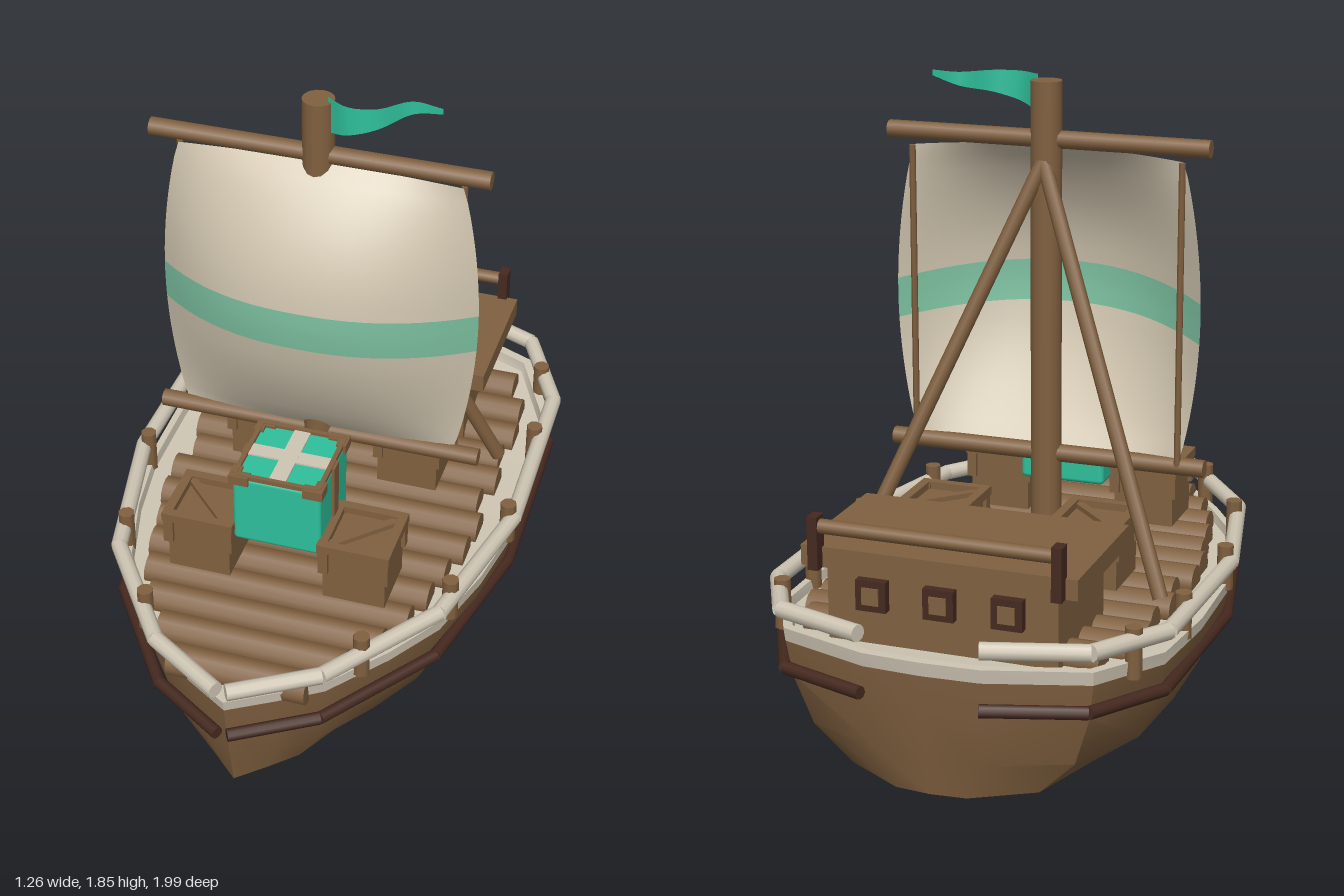
import * as THREE from 'three';
import { toCreasedNormals } from 'three/addons/utils/BufferGeometryUtils.js';
import { RoundedBoxGeometry } from 'three/addons/geometries/RoundedBoxGeometry.js';

const mat = (name, color, extra = {}) => Object.assign(new THREE.MeshStandardMaterial({ color, ...extra }), { name });

export function createModel() {
  const wood = mat('wood', 0x80603f);
  const darkWood = mat('darkWood', 0x45291f);
  const cream = mat('cream', 0xcfc6b4);
  const canvas = mat('canvas', 0xcfc4ae, { side: THREE.DoubleSide });
  const stripe = mat('stripe', 0x7cc0a0, { side: THREE.DoubleSide });
  const teal = mat('teal', 0x2fc09c, { side: THREE.DoubleSide });
  const root = new THREE.Group();
  root.name = 'sailingBoat';

  const add = (name, geo, material, x = 0, y = 0, z = 0, parent = root) => {
    const m = new THREE.Mesh(geo, material);
    m.name = name;
    m.position.set(x, y, z);
    parent.add(m);
    return m;
  };
  const box = (name, w, h, d, material, x, y, z, parent) =>
    add(name, new THREE.BoxGeometry(w, h, d), material, x, y, z, parent);
  // Round bar between two points
  const bar = (name, a, b, r, material, parent = root, sides = 10) => {
    const p = new THREE.Vector3(...a), q = new THREE.Vector3(...b);
    const m = add(name, new THREE.CylinderGeometry(r, r, p.distanceTo(q), sides), material, 0, 0, 0, parent);
    m.position.addVectors(p, q).multiplyScalar(0.5);
    m.quaternion.setFromUnitVectors(new THREE.Vector3(0, 1, 0), q.sub(p).normalize());
    return m;
  };
  // Grid of points p(i, j) turned into a surface
  const grid = (ni, nj, p) => {
    const pos = [], idx = [];
    for (let j = 0; j <= nj; j++) for (let i = 0; i <= ni; i++) pos.push(...p(i, j));
    for (let j = 0; j < nj; j++) for (let i = 0; i < ni; i++) {
      const a = j * (ni + 1) + i, b = a + ni + 1;
      idx.push(a, a + 1, b, a + 1, b + 1, b);
    }
    const g = new THREE.BufferGeometry();
    g.setAttribute('position', new THREE.Float32BufferAttribute(pos, 3));
    g.setIndex(idx);
    g.computeVertexNormals();
    return g;
  };

  // Hull: deck outline from bow to stern, scaled at each level
  const half = [[0, 0.96], [0.13, 0.88], [0.25, 0.8], [0.39, 0.62], [0.495, 0.45], [0.56, 0.22], [0.595, 0],
    [0.6, -0.3], [0.58, -0.6], [0.455, -0.85], [0.17, -0.96], [0, -0.97]];
  const ring = [...half, ...half.slice(0, -1).reverse().map(([x, z]) => [-x, z])];
  const rise = z => 0.05 * Math.max(0, (-z - 0.45) / 0.52);
  // Each level is [x scale, z scale, height]
  const loft = levels => toCreasedNormals(grid(ring.length - 1, levels.length - 1, (i, j) => {
    const [x, z] = ring[i], [sx, sz, y] = levels[j];
    return [x * sx, y + rise(z) * y / 0.37, z * sz];
  }), 0.7);
  add('hull', loft([[0, 0.93, 0], [0.62, 0.93, 0], [0.86, 0.95, 0.1], [0.97, 0.98, 0.24], [1, 0.993, 0.34]]), wood);
  add('deckAndGunwale', loft([[1, 0.993, 0.335], [1.005, 1, 0.372], [0.97, 0.97, 0.372], [0.96, 0.96, 0.345], [0, 0.96, 0.345]]), cream);

  // Deck logs
  [0.44, 0.49, 0.5, 0.48, 0.5, 0.47, 0.5, 0.49, 0.46, 0.44, 0.41, 0.36, 0.285, 0.21].forEach((w, i) => {
    const z = -0.71 + i * 0.1177, y = 0.36 + rise(z);
    bar('deckLog', [-w, y, z], [w, y, z], 0.051, wood, root, 12);
  });

  // Rope rails, rub rails and rail posts on both sides
  const path = [[0.015, 0.975], [0.25, 0.83], [0.5, 0.48], [0.605, 0], [0.592, -0.6], [0.455, -0.865], [0.175, -0.97]];
  const railY = z => 0.43 + 0.012 * (1 - z) / 2 + 0.8 * rise(z);
  for (const s of [-1, 1]) {
    for (let i = 0; i < path.length - 1; i++) {
      const [x0, z0] = path[i], [x1, z1] = path[i + 1];
      bar('topRail', [s * x0, railY(z0), z0], [s * x1, railY(z1), z1], 0.025, cream);
      bar('rubRail', [s * x0 * 0.985, 0.262 + rise(z0) * 0.9, z0], [s * x1 * 0.985, 0.262 + rise(z1) * 0.9, z1], 0.019, darkWood);
    }
    for (const [x, z] of [[0.33, 0.7], [0.51, 0.39], [0.588, 0], [0.575, -0.4], [0.525, -0.71]])
      bar('railPost', [s * x, 0.35, z], [s * x, 0.488 + rise(z) * 0.4, z], 0.025, wood, root, 8);
  }

  // Mast, yards, stays and sail spars
  bar('mast', [0, 0.36, 0.06], [0, 1.835, 0.06], 0.047, wood, root, 14);
  bar('upperYard', [-0.5, 1.662, 0.063], [0.5, 1.662, 0.063], 0.027, wood);
  bar('lowerYard', [-0.5, 0.695, 0.063], [0.5, 0.695, 0.063], 0.027, wood);
  for (const s of [-1, 1]) {
    bar('stay', [0, 1.6, 0.035], [s * 0.48, 0.42, -0.31], 0.023, wood);
    bar('sailSpar', [s * 0.42, 0.7, 0.045], [s * 0.42, 1.62, 0.045], 0.01, wood, root, 6);
  }

  // Billowing sail in three horizontal bands
  const sailPoint = (u, v) => {
    const belly = Math.sin(Math.PI * v);
    const lift = (1 - u * u) * (0.035 * belly + 0.022 * v);
    return [u * (0.42 + 0.06 * Math.pow(belly, 0.8)), 0.71 + 0.91 * v + lift,
      0.058 + (1 - Math.abs(u) ** 2.2) * (0.015 + 0.197 * Math.pow(Math.max(belly, 0), 0.85))];
  };
  const sailBand = (name, v0, v1, rows, m) => add(name, grid(20, rows, (i, j) =>
    sailPoint(i / 10 - 1, v0 + (v1 - v0) * j / rows)), m);
  sailBand('sailBottom', 0, 0.405, 8, canvas);
  sailBand('sailStripe', 0.405, 0.54, 3, stripe);
  sailBand('sailTop', 0.54, 1, 9, canvas);

  // Waving pennant
  const wave = new THREE.CatmullRomCurve3([[0.03, 0.07], [0.1, 0.11], [0.18, 0.095], [0.26, 0.025], [0.35, 0.04]]
    .map(([x, z]) => new THREE.Vector3(x, 0, z)));
  add('pennant', grid(16, 1, (i, j) => {
    const p = wave.getPoint(i / 16);
    return [p.x, j ? 1.85 : 1.738 + 0.095 * i / 16, p.z];
  }), teal);

  // Wooden crates with framed tops and a diagonal brace
  const frame = (g, w, y, t) => {
    for (const s of [-1, 1]) {
      box('topSlat', w, t, t, wood, 0, y, s * (w - t) / 2, g);
      box('topSlat', t, t, w, wood, s * (w - t) / 2, y, 0, g);
    }
  };
  for (const x of [-0.24, 0.24]) for (const z of [0.39, -0.18]) {
    const g = new THREE.Group();
    g.name = 'crate';
    g.position.set(x, 0.4, z);
    root.add(g);
    box('crateBody', 0.19, 0.18, 0.19, wood, 0, 0.1, 0, g);
    frame(g, 0.22, 0.198, 0.028);
    for (const sx of [-1, 1]) for (const sz of [-1, 1])
      box('cornerPost', 0.03, 0.1, 0.03, wood, sx * 0.092, 0.155, sz * 0.092, g);
    box('topBrace', 0.025, 0.015, 0.25, wood, 0, 0.197, 0, g).rotation.y = x > 0 ? -0.78 : 0.78;
  }

  // Cloth-covered crate resting on the front pair
  const bale = new THREE.Group();
  bale.name = 'coveredCrate';
  bale.position.set(0, 0.55, 0.34);
  root.add(bale);
  add('cloth', new RoundedBoxGeometry(0.27, 0.235, 0.27, 3, 0.015), teal, 0, 0.118, 0, bale);
  box('clothBand', 0.05, 0.009, 0.25, cream, 0, 0.237, 0, bale);
  box('clothBand', 0.25, 0.009, 0.05, cream, 0, 0.2365, 0, bale);
  for (const s of [-1, 1]) {
    box('sideStrap', 0.016, 0.22, 0.042, wood, s * 0.135, 0.13, 0, bale);
    for (const q of [-1, 1]) {
      box('cornerCap', 0.055, 0.03, 0.03, wood, s * 0.11, 0.228, q * 0.128, bale);
      box('cornerCap', 0.03, 0.03, 0.055, wood, s * 0.128, 0.228, q * 0.115, bale);
    }
    box('topEdge', 0.25, 0.014, 0.014, wood, 0, 0.238, s * 0.128, bale);
    box('topEdge', 0.014, 0.014, 0.25, wood, s * 0.128, 0.238, 0, bale);
  }

  // Stern cabin with roof, rear rail and windows
  box('cabin', 0.68, 0.24, 0.39, wood, 0, 0.49, -0.605);
  box('cabinRoof', 0.81, 0.06, 0.45, wood, 0, 0.63, -0.605);
  bar('roofRail', [-0.36, 0.725, -0.84], [0.36, 0.725, -0.84], 0.021, wood);
  for (const s of [-1, 1]) box('roofRailPost', 0.03, 0.155, 0.046, darkWood, s * 0.355, 0.678, -0.84);
  for (const x of [-0.2, 0, 0.2]) {
    box('windowFrame', 0.09, 0.09, 0.03, darkWood, x, 0.53, -0.812);
    box('windowPane', 0.05, 0.05, 0.008, wood, x, 0.53, -0.828);
  }

  // Barrel and sack in front of the cabin
  add('barrel', new THREE.CylinderGeometry(0.09, 0.09, 0.15, 16), wood, -0.195, 0.475, -0.41);
  add('barrelLid', new THREE.CylinderGeometry(0.082, 0.082, 0.008, 16), darkWood, -0.195, 0.554, -0.41);
  add('sack', new THREE.SphereGeometry(0.115, 18, 12), cream, 0.215, 0.48, -0.41);

  return root;
}
